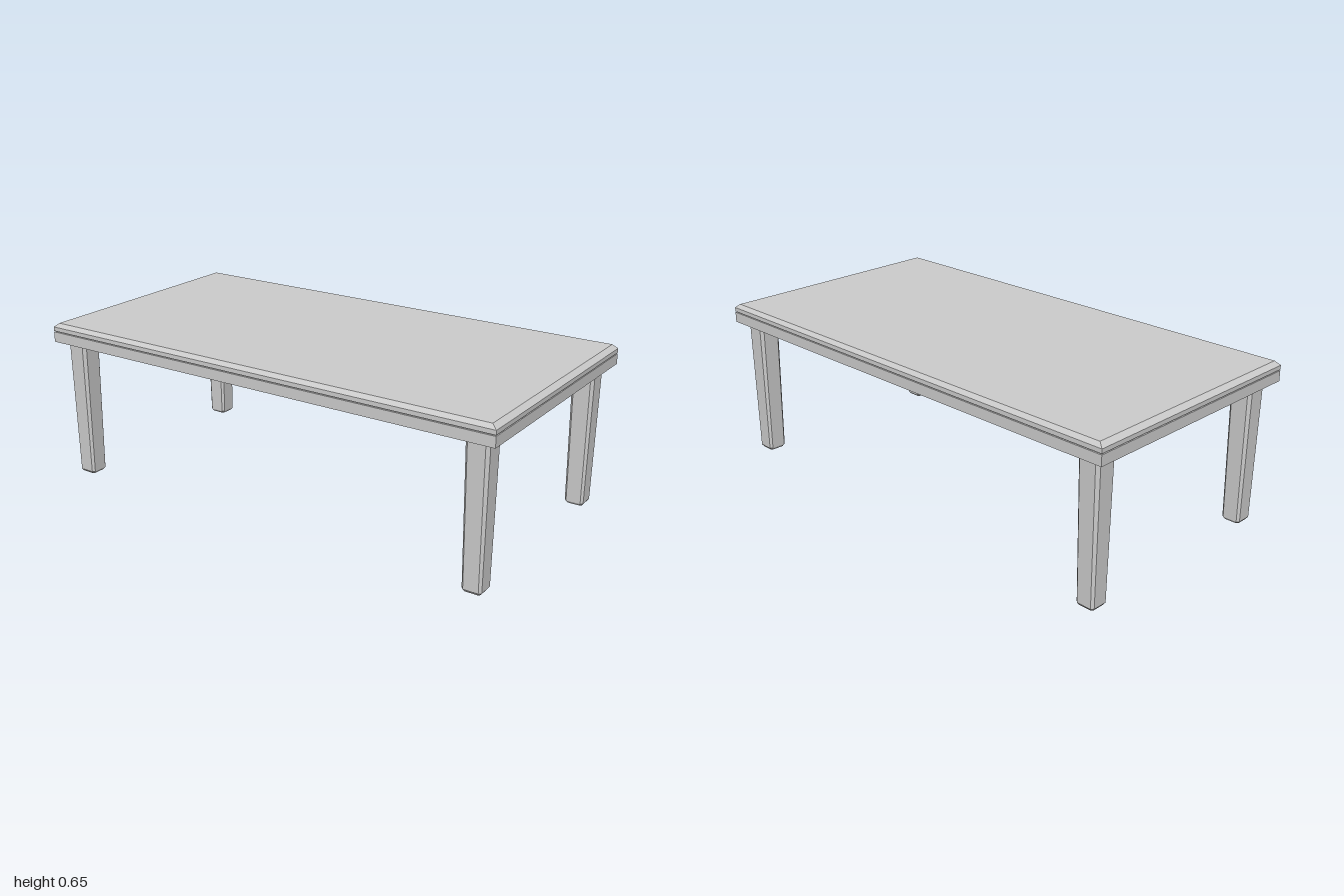
import * as THREE from 'three';

// Rectangle outline with chamfered corners, counter-clockwise seen from above
function outline(hx, hz, c) {
  if (c === 0) return [[-hx, hz], [hx, hz], [hx, -hz], [-hx, -hz]];
  return [
    [-hx + c, hz], [hx - c, hz], [hx, hz - c], [hx, -hz + c],
    [hx - c, -hz], [-hx + c, -hz], [-hx, -hz + c], [-hx, hz - c],
  ];
}

// Closed flat-faced solid through levels [y, halfX, halfZ, chamfer]
function loft(levels) {
  const pos = [], idx = [];
  const n = levels[0][3] === 0 ? 4 : 8;
  for (const [y, hx, hz, c] of levels)
    for (const [x, z] of outline(hx, hz, c)) pos.push(x, y, z);
  for (let l = 0; l < levels.length - 1; l++) {
    for (let i = 0; i < n; i++) {
      const a = l * n + i, b = l * n + (i + 1) % n;
      idx.push(a, b, b + n, a, b + n, a + n);
    }
  }
  const top = (levels.length - 1) * n;
  for (let i = 1; i < n - 1; i++) {
    idx.push(0, i + 1, i);
    idx.push(top, top + i, top + i + 1);
  }
  const indexed = new THREE.BufferGeometry();
  indexed.setAttribute('position', new THREE.Float32BufferAttribute(pos, 3));
  indexed.setIndex(idx);
  const geometry = indexed.toNonIndexed();
  geometry.computeVertexNormals();
  return geometry;
}

export function createModel() {
  const group = new THREE.Group();
  const material = new THREE.MeshStandardMaterial({ color: 0xcccccc, flatShading: true });

  // Table top: apron edge, thin groove, upper board with bevelled rim
  const tableTop = new THREE.Mesh(loft([
    [0.576, 1, 0.513, 0],
    [0.618, 1, 0.513, 0],
    [0.618, 0.994, 0.507, 0],
    [0.622, 0.994, 0.507, 0],
    [0.622, 1, 0.513, 0],
    [0.639, 1, 0.513, 0],
    [0.655, 0.98, 0.5, 0],
  ]), material);
  tableTop.name = 'tableTop';
  group.add(tableTop);

  // Four tapered legs with chamfered corners and feet
  const legGeometry = loft([
    [0, 0.032, 0.032, 0.007],
    [0.01, 0.039, 0.039, 0.009],
    [0.578, 0.046, 0.046, 0.012],
  ]);
  for (const [sx, side] of [[1, 'Left'], [-1, 'Right']]) {
    for (const [sz, end] of [[1, 'front'], [-1, 'back']]) {
      const leg = new THREE.Mesh(legGeometry, material);
      leg.name = `${end}${side}Leg`;
      leg.position.set(sx * 0.915, 0, sz * 0.433);
      group.add(leg);
    }
  }
  return group;
}
